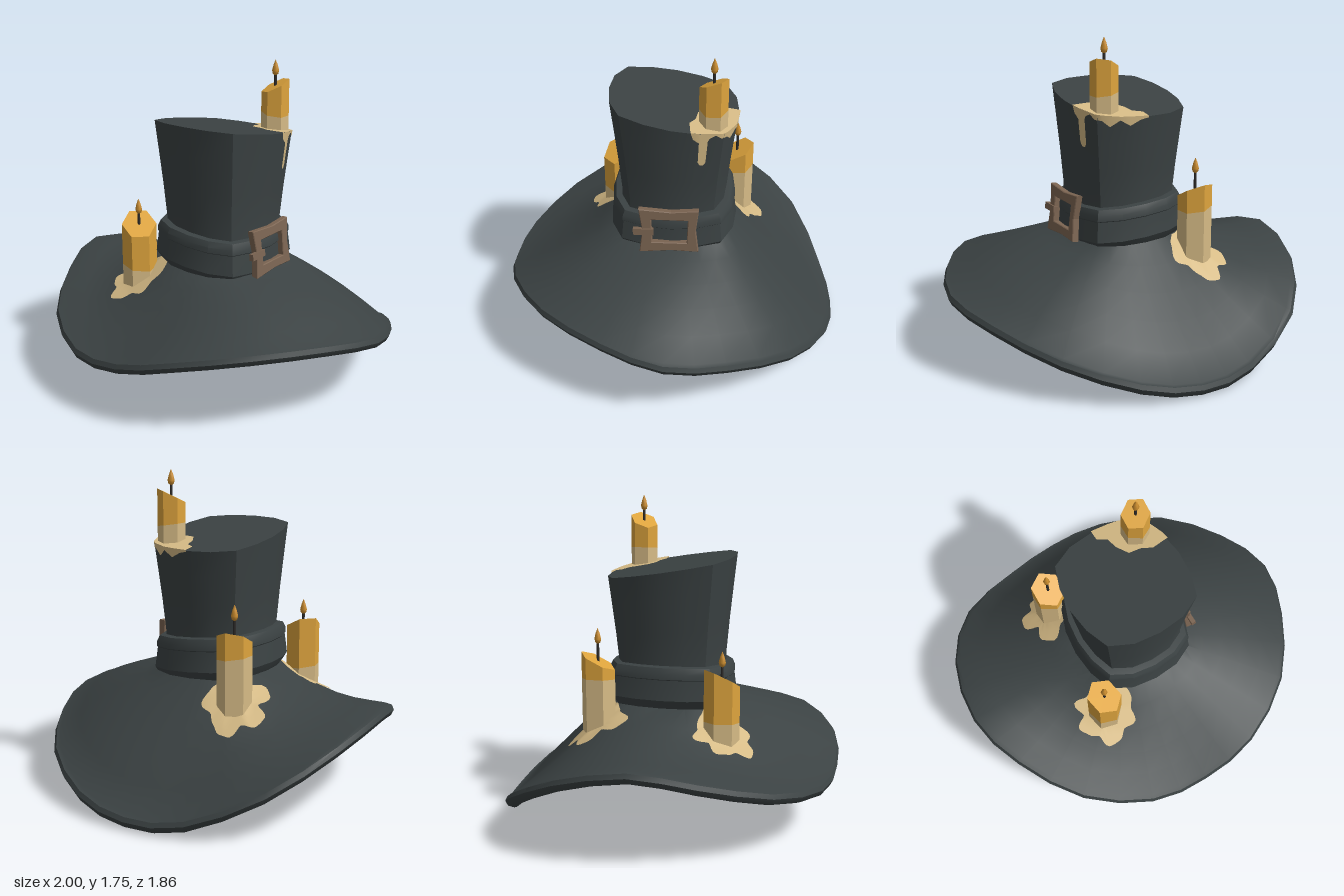
import * as THREE from 'three';
import { toCreasedNormals } from 'three/addons/utils/BufferGeometryUtils.js';

const mat = (name, color, side = THREE.FrontSide) => {
  const m = new THREE.MeshStandardMaterial({ color, side });
  m.name = name;
  return m;
};
const felt = mat('dark felt', 0x3b4243);
const honey = mat('honey candle', 0xdea43d);
const wax = mat('melted wax', 0xd6bb86, THREE.DoubleSide);
const bronze = mat('bronze', 0x7c6552);
const soot = mat('wick', 0x2e2c2a);
const fire = mat('flame', 0xcf9030);

// Crown outline: a rounded square of 16 points, running from +x to +z
const quarter = [[0.32, 0], [0.305, 0.14], [0.26, 0.27], [0.14, 0.33]];
const half = [...quarter, [0, 0.345], ...quarter.slice(1).reverse().map(([x, z]) => [-x, z])];
const crownOutline = [...half, ...half.map(([x, z]) => [-x, -z])];
const topY = z => 1.4 + 0.17 * z;
function outlineAt(u) {
  const i = Math.floor(u), f = u - i;
  const a = crownOutline[i % 16], b = crownOutline[(i + 1) % 16];
  return [a[0] + (b[0] - a[0]) * f, a[1] + (b[1] - a[1]) * f];
}

// Brim outline: x, height and z of the wavy edge, smoothed to 32 sides
const rimCurve = new THREE.CatmullRomCurve3([
  [1, 0.425, 0], [0.9, 0.472, 0.33], [0.67, 0.485, 0.67], [0.33, 0.43, 0.88],
  [0, 0.345, 0.925], [-0.33, 0.322, 0.88], [-0.67, 0.385, 0.67], [-0.9, 0.49, 0.33],
  [-1, 0.558, 0], [-0.93, 0.46, -0.4], [-0.7, 0.275, -0.72], [-0.33, 0.105, -0.88],
  [0, 0.075, -0.93], [0.33, 0.13, -0.88], [0.67, 0.245, -0.67], [0.9, 0.355, -0.33],
].map(p => new THREE.Vector3(...p)), true, 'catmullrom', 0.5);
const rim = Array.from({ length: 32 }, (_, i) => rimCurve.getPoint(i / 32).toArray());

// Skin over a stack of closed rings, capped at both ends
function loft(rings, crease = 0.6) {
  const n = rings[0].length, pos = [], idx = [];
  rings.forEach(r => r.forEach(p => pos.push(...p)));
  for (let k = 0; k < rings.length - 1; k++) {
    for (let i = 0; i < n; i++) {
      const a = k * n + i, b = k * n + (i + 1) % n;
      idx.push(a, a + n, b, b, a + n, b + n);
    }
  }
  [rings[0], rings[rings.length - 1]].forEach((r, end) => {
    const c = pos.length / 3, o = end * (rings.length - 1) * n;
    pos.push(...[0, 1, 2].map(j => r.reduce((s, p) => s + p[j], 0) / n));
    for (let i = 0; i < n; i++) {
      const a = o + i, b = o + (i + 1) % n;
      idx.push(c, ...(end ? [b, a] : [a, b]));
    }
  });
  return finish(pos, idx, crease);
}

function finish(pos, idx, crease) {
  const g = new THREE.BufferGeometry();
  g.setAttribute('position', new THREE.Float32BufferAttribute(pos, 3));
  g.setIndex(idx);
  return toCreasedNormals(g, crease);
}

function add(parent, name, geometry, material) {
  const m = new THREE.Mesh(geometry, material);
  m.name = name;
  parent.add(m);
  return m;
}

function makeBrim() {
  // Upper side: t runs from crown to edge; the felt bulges on one side and sags on the other
  const upper = t => rim.map(([x, y, z], i) => {
    const [cx, cz] = outlineAt(i / 2);
    const mix = (a, b) => a * 0.9 * (1 - t) + b * 0.965 * t;
    const bulge = t > 0 ? (-0.01 + 0.04 * Math.cos(Math.atan2(z, x) + 0.44)) * 4 * t * (1 - t) : 0;
    return [mix(cx, x), 0.665 + (y - 0.665) * t + bulge, mix(cz, z)];
  });
  // Underside: a closed shallow vault below the crown
  const under = t => rim.map(([x, y, z]) =>
    [x * 0.95 * t, 0.5 + (y - 0.575) * Math.pow(t, 1.4), z * 0.95 * t]);
  const lip = (k, dy) => rim.map(([x, y, z]) => [x * k, y + dy, z * k]);
  return loft([
    ...[0.12, 0.3, 0.5, 0.7, 0.86, 1].map(under),
    lip(0.985, -0.06), lip(1, -0.03), lip(0.988, -0.006),
    ...[1, 0.8, 0.6, 0.4, 0.2, 0, -0.3].map(upper),
  ], 0.75);
}

// Crown flare and its sloping top
const flare = [[0, 0.86], [0.3, 0.84], [0.55, 0.89], [0.8, 0.95], [1, 1]];
function flareAt(v) {
  const k = Math.min(3, flare.findIndex(([a], i) => i === 4 || v <= flare[i + 1][0]));
  const [a, s] = flare[k], [b, e] = flare[k + 1];
  return s + (e - s) * (v - a) / (b - a);
}
const crownPoint = ([x, z], v) => {
  const s = flareAt(v);
  return [x * s, 0.66 + v * (topY(z) - 0.66), z * s];
};

// Splash of wax draped over the brim
function makePool(brim, cx, cz, radii) {
  const ray = new THREE.Raycaster(), down = new THREE.Vector3(0, -1, 0);
  const n = 64, rings = 6, pos = [], idx = [];
  for (let k = 0; k <= rings; k++) {
    for (let i = 0; i < n; i++) {
      const f = i / n * radii.length, j = Math.floor(f), w = f - j;
      const s = w * w * (3 - 2 * w);
      const r = (radii[j] * (1 - s) + radii[(j + 1) % radii.length] * s) * k / rings;
      const a = i / n * Math.PI * 2;
      const x = cx + r * Math.cos(a), z = cz + r * Math.sin(a);
      ray.set(new THREE.Vector3(x, 3, z), down);
      pos.push(x, ray.intersectObject(brim)[0].point.y + 0.008, z);
      if (k < rings) {
        const p = k * n + i, q = k * n + (i + 1) % n;
        idx.push(p, q, p + n, q, q + n, p + n);
      }
    }
  }
  return finish(pos, idx.reverse(), 0.8);
}

// Wax running down the crown wall: position along the outline, length
const runs = [[12, 0.01], [12.3, 0.02], [12.7, 0.05], [13.1, 0.02], [13.5, 0.06], [13.8, 0.03],
  [14.1, 0.03], [14.35, 0.01], [14.58, 0.03], [14.64, 0.05], [14.65, 0.185], [14.74, 0.205],
  [14.88, 0.205], [14.97, 0.185], [14.98, 0.06], [15.2, 0.04], [15.3, 0]];
function makeDrips() {
  const pos = [], idx = [], rows = 4;
  runs.forEach(([u, len], i) => {
    const [x, z] = outlineAt(u);
    for (let k = 0; k <= rows; k++) {
      const v = 1 - len * k / rows / (topY(z) - 0.66);
      const p = crownPoint([x, z], v);
      pos.push(p[0] * 1.02, p[1] + 0.006, p[2] * 1.02);
      if (i && k) {
        const d = i * (rows + 1) + k, c = d - rows - 1;
        idx.push(c - 1, d - 1, c, c, d - 1, d);
      }
    }
  });
  return finish(pos, idx.reverse(), 0.8);
}

// Flat wax on the crown top, following its edge
function makeTopPool() {
  const edge = runs.map(([u]) => outlineAt(u).map(c => c * 1.02));
  const inner = [[0.22, -0.09], [0.17, -0.12], [0.1, -0.13], [0.06, -0.2], [0.05, -0.26], [0, -0.29]];
  const shape = new THREE.Shape([...edge, ...inner].map(([x, z]) => new THREE.Vector2(x, -z)));
  const g = new THREE.ShapeGeometry(shape).rotateX(-Math.PI / 2);
  const p = g.attributes.position;
  for (let i = 0; i < p.count; i++) p.setY(i, topY(p.getZ(i)) + 0.007);
  g.computeVertexNormals();
  return g;
}

// Six-sided candle with a slanted top, a paler foot, wick and flame
function makeCandle({ name, x, z, r, foot, mid, top, sx, sz, turn, tip }) {
  const g = new THREE.Group();
  g.name = name;
  g.position.set(x, 0, z);
  const ring = (height, a, b) => Array.from({ length: 6 }, (_, i) => {
    const t = turn + i * Math.PI / 3, px = r * Math.cos(t), pz = r * Math.sin(t);
    return [px, height + px * a + pz * b, pz];
  });
  const seam = ring(mid, -0.15, 0);
  add(g, 'candleFoot', loft([ring(foot, -0.8 * x, -0.8 * z), seam], 0.3), wax);
  add(g, 'candleBody', loft([seam, ring(top, sx, sz)], 0.3), honey);
  const wick = add(g, 'wick', new THREE.CylinderGeometry(0.007, 0.008, tip - top - 0.04, 6), soot);
  wick.position.y = (top + tip - 0.08) / 2;
  const drop = [[0, 0], [0.015, 0.012], [0.019, 0.03], [0.011, 0.062], [0, 0.09]];
  const flame = add(g, 'flame', new THREE.LatheGeometry(drop.map(p => new THREE.Vector2(...p)), 6), fire);
  flame.position.y = tip - 0.09;
  return g;
}

function makeBuckle() {
  const g = new THREE.Group();
  g.name = 'buckle';
  const pts = a => a.map(p => new THREE.Vector2(...p));
  const frame = new THREE.Shape(pts([[-0.17, 0.125], [0, 0.112], [0.145, 0.125], [0.13, 0],
    [0.145, -0.12], [0, -0.115], [-0.165, -0.13], [-0.15, 0]]));
  frame.holes.push(new THREE.Path(pts([[-0.11, 0.07], [-0.105, -0.075], [0.09, -0.075], [0.095, 0.07]])));
  const bevel = { depth: 0.03, bevelSize: 0.004, bevelThickness: 0.004, bevelSegments: 1 };
  add(g, 'buckleFrame', new THREE.ExtrudeGeometry(frame, bevel), bronze);
  add(g, 'buckleTongue', new THREE.BoxGeometry(0.11, 0.036, 0.025), bronze).position.set(-0.148, -0.005, 0.03);
  g.rotation.set(0, Math.PI / 2, 0.11, 'ZYX');
  g.position.set(0.302, 0.775, 0);
  return g;
}

export function createModel() {
  const hat = new THREE.Group();
  hat.name = 'candleHat';

  const brim = add(hat, 'brim', makeBrim(), felt);
  add(hat, 'crown', loft(flare.map(([v]) => crownOutline.map(p => crownPoint(p, v)))), felt);
  // Tilted band with a raised upper trim
  const bandProfile = [[0.64, 0.92], [0.66, 0.96], [0.69, 1.01], [0.8, 0.97], [0.805, 0.985], [0.835, 0.98], [0.865, 0.94], [0.87, 0.82]];
  add(hat, 'hatBand', loft(bandProfile.map(([y, s]) =>
    crownOutline.map(([x, z]) => [x * s, y - 0.08 * x, z * s])), 0.5), felt);
  hat.add(makeBuckle());

  // Candles and their spilled wax
  [
    { name: 'frontCandle', x: -0.33, z: 0.338, r: 0.095, foot: 0.545, mid: 0.625, top: 0.865, sx: -0.42, sz: -0.4, turn: 0.26, tip: 1.01 },
    { name: 'backCandle', x: -0.295, z: -0.345, r: 0.093, foot: 0.545, mid: 0.81, top: 0.91, sx: -0.1, sz: -0.5, turn: 0.5, tip: 1.09 },
    { name: 'topCandle', x: 0.187, z: -0.212, r: 0.075, foot: 1.34, mid: 1.455, top: 1.61, sx: 0.35, sz: -0.35, turn: 0.52, tip: 1.75 },
  ].forEach(c => hat.add(makeCandle(c)));
  add(hat, 'frontPool', makePool(brim, -0.335, 0.34,
    [0.17, 0.15, 0.18, 0.14, 0.17, 0.18, 0.13, 0.15, 0.17, 0.12, 0.18, 0.13, 0.13, 0.13, 0.15, 0.17]), wax);
  add(hat, 'backPool', makePool(brim, -0.3, -0.345,
    [0.15, 0.13, 0.11, 0.11, 0.12, 0.2, 0.19, 0.12, 0.18, 0.18, 0.13, 0.17, 0.16, 0.14, 0.13, 0.18]), wax);
  add(hat, 'topPool', makeTopPool(), wax);
  add(hat, 'waxDrips', makeDrips(), wax);
  return hat;
}
